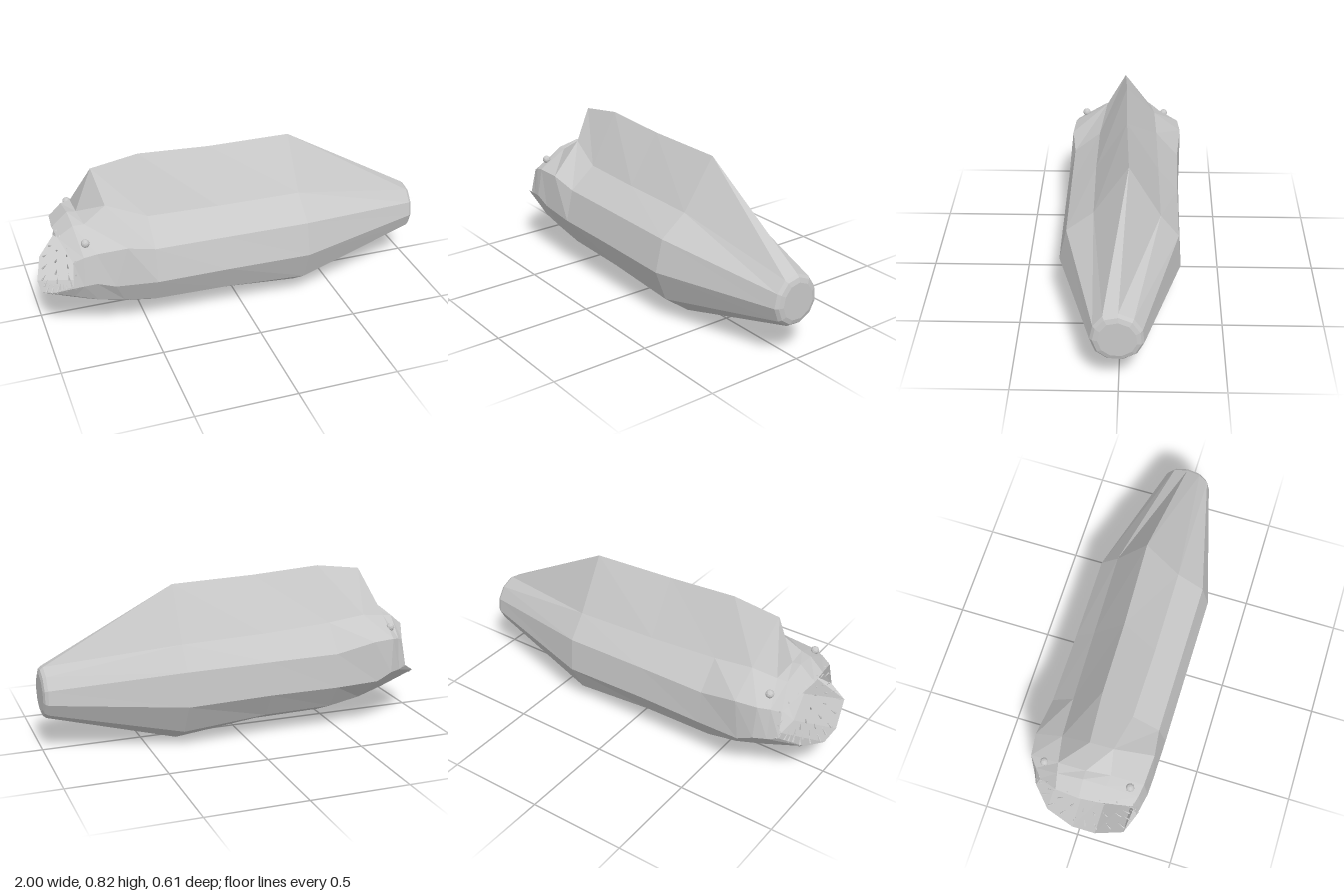
import * as THREE from 'three';

// Each section lists 11 corners as [x, y, z]: ridge first, down the +z flank, under the belly, up the -z flank.
const ring = (x, yz) => yz.map(([y, z]) => [x, y, z]);
const scaled = (sec, s, y, x) => sec.map((p) => [x ?? p[0], y + (p[1] - y) * s, p[2] * s]);

const tail = [[0.43, 0], [0.415, 0.07], [0.36, 0.115], [0.29, 0.13], [0.22, 0.105], [0.18, 0.05],
  [0.175, -0.02], [0.21, -0.085], [0.27, -0.117], [0.34, -0.11], [0.4, -0.07]];
const rear = [[0.797, -0.035], [0.545, 0.135], [0.44, 0.27], [0.275, 0.308], [0.115, 0.248], [0.013, 0.11],
  [0.003, -0.06], [0.085, -0.21], [0.24, -0.293], [0.415, -0.28], [0.53, -0.19]];
const middle = [[0.805, -0.018], [0.55, 0.14], [0.443, 0.27], [0.28, 0.308], [0.14, 0.248], [0.055, 0.11],
  [0.05, -0.06], [0.12, -0.21], [0.25, -0.293], [0.42, -0.28], [0.54, -0.18]];
const shoulder = [[0.825, -0.012], [0.555, 0.135], [0.445, 0.27], [0.28, 0.308], [0.147, 0.248], [0.055, 0.11],
  [0.052, -0.05], [0.125, -0.21], [0.25, -0.295], [0.425, -0.285], [0.56, -0.17]];
const neck = [[-0.7, 0.79, 0], [-0.66, 0.632, 0.1], [-0.6, 0.487, 0.288], [-0.67, 0.297, 0.305], [-0.62, 0.18, 0.255],
  [-0.62, 0.082, 0.11], [-0.62, 0.082, -0.04], [-0.62, 0.155, -0.21], [-0.68, 0.262, -0.305], [-0.66, 0.472, -0.303], [-0.66, 0.58, -0.16]];
const head = [[-0.785, 0.57, 0], [-0.77, 0.56, 0.12], [-0.75, 0.48, 0.28], [-0.76, 0.33, 0.303], [-0.75, 0.212, 0.26],
  [-0.77, 0.125, 0.11], [-0.77, 0.125, -0.03], [-0.76, 0.19, -0.19], [-0.76, 0.3, -0.3], [-0.77, 0.475, -0.29], [-0.785, 0.56, -0.14]];
const brow = [[-0.83, 0.575, 0], [-0.825, 0.555, 0.11], [-0.81, 0.465, 0.27], [-0.82, 0.32, 0.29], [-0.86, 0.248, 0.25],
  [-0.88, 0.162, 0.105], [-0.88, 0.16, -0.025], [-0.86, 0.22, -0.175], [-0.82, 0.3, -0.27], [-0.82, 0.46, -0.25], [-0.835, 0.555, -0.13]];
const rim = [[-0.91, 0.505, 0], [-0.9, 0.5, 0.1], [-0.86, 0.44, 0.255], [-0.87, 0.312, 0.28], [-0.965, 0.28, 0.24],
  [-1, 0.205, 0.1], [-1, 0.2, -0.02], [-0.96, 0.25, -0.16], [-0.87, 0.31, -0.245], [-0.86, 0.44, -0.215], [-0.9, 0.5, -0.12]];
const throat = scaled(head, 0.88, 0.35);

// Skin lofted through sections ordered from tail to mouth
function loft(sections) {
  const pos = [];
  for (let s = 0; s < sections.length - 1; s++) {
    for (let k = 0; k < 11; k++) {
      const n = (k + 1) % 11;
      const a = sections[s][k], b = sections[s + 1][k], c = sections[s + 1][n], d = sections[s][n];
      pos.push(...a, ...b, ...d, ...b, ...c, ...d);
    }
  }
  const geo = new THREE.BufferGeometry();
  geo.setAttribute('position', new THREE.Float32BufferAttribute(pos, 3));
  geo.computeVertexNormals();
  return geo;
}

export function createModel() {
  const model = new THREE.Group();
  const grey = new THREE.MeshStandardMaterial({ color: 0xc8c8c8 });
  grey.name = 'plain grey';
  grey.flatShading = true;
  grey.side = THREE.DoubleSide;
  const add = (name, geo, parent = model) => {
    const mesh = new THREE.Mesh(geo, grey);
    mesh.name = name;
    parent.add(mesh);
    return mesh;
  };

  // Faceted body, from the blunt tail end to the lips
  const tailRing = ring(0.978, tail);
  add('body', loft([
    scaled(tailRing, 0, 0.298, 1), scaled(tailRing, 0.72, 0.298, 1), scaled(tailRing, 0.9, 0.3, 0.993), tailRing,
    ring(0.33, rear), ring(-0.1, middle), ring(-0.46, shoulder), neck, head, brow, rim,
  ]));

  // Hollow mouth
  add('mouthLining', loft([rim, throat, scaled(throat, 0.6, 0.35, -0.68), scaled(throat, 0, 0.35, -0.67)]));

  // Eyes on both sides of the head
  for (const z of [0.222, -0.212]) {
    const eye = add(z > 0 ? 'leftEye' : 'rightEye', new THREE.IcosahedronGeometry(0.021, 1));
    eye.position.set(-0.79, 0.515, z);
  }

  // Rows of thin teeth leaning into the mouth
  const teeth = new THREE.Group();
  teeth.name = 'teeth';
  model.add(teeth);
  const toothGeo = new THREE.ConeGeometry(0.006, 0.05, 5).translate(0, 0.02, 0);
  const up = new THREE.Vector3(0, 1, 0);
  const middleOfMouth = new THREE.Vector3(-0.86, 0.39, 0.01);
  [0.1, 0.4, 0.7].forEach((t, row) => {
    for (let i = 0; i < 22; i++) {
      const f = (i + (row % 2) * 0.5) / 2, k = Math.floor(f) % 11;
      const along = (sec) => new THREE.Vector3(...sec[k]).lerp(new THREE.Vector3(...sec[(k + 1) % 11]), f - Math.floor(f));
      const tooth = add('tooth', toothGeo, teeth);
      tooth.position.copy(along(rim).lerp(along(throat), t));
      tooth.quaternion.setFromUnitVectors(up, middleOfMouth.clone().sub(tooth.position).normalize());
    }
  });
  return model;
}
